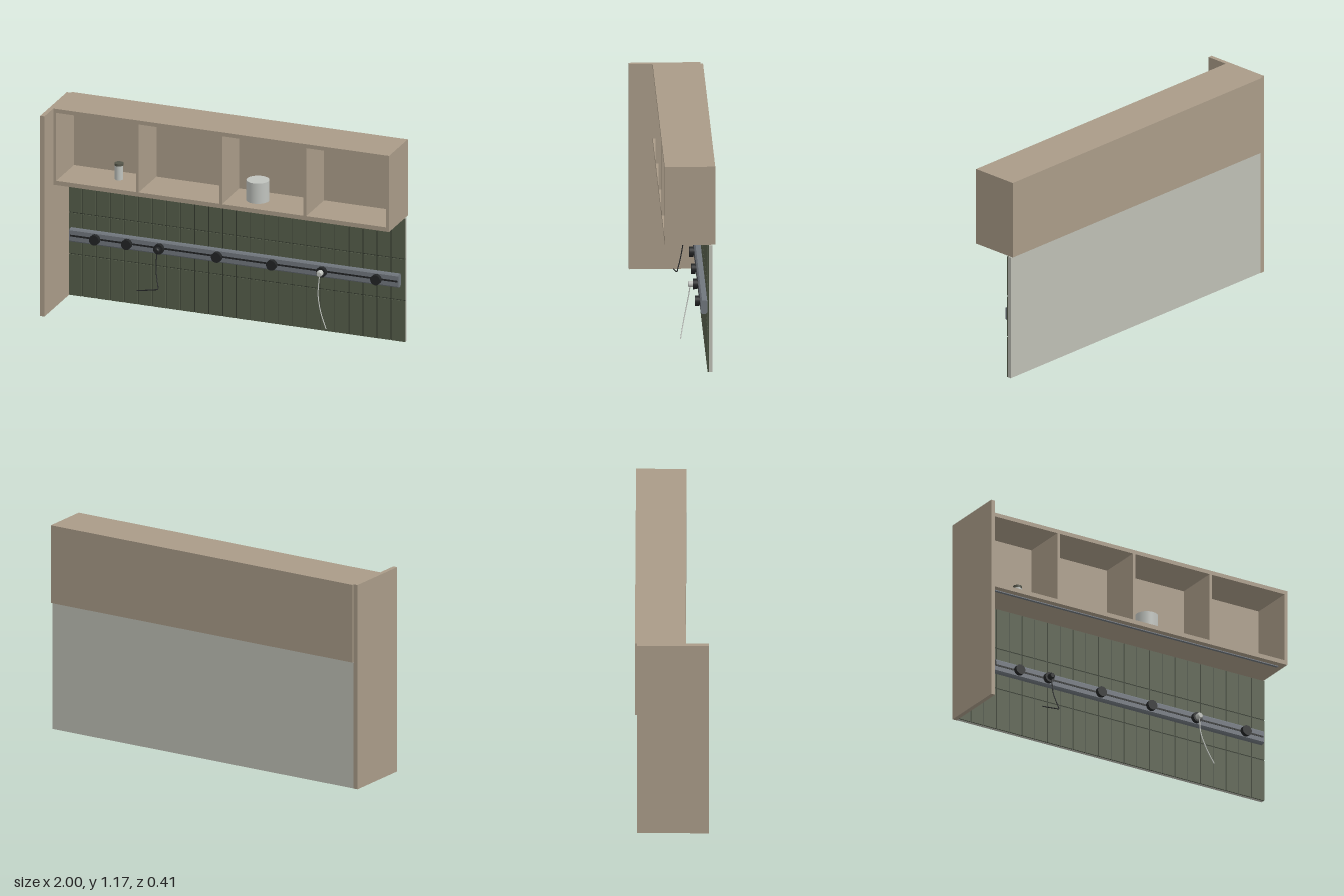
import * as THREE from 'three';

const mat = (name, color) => {
  const m = new THREE.MeshStandardMaterial({ color });
  m.name = name;
  return m;
};

export function createModel() {
  const wood = mat('taupe wood', 0xa99b88);
  const green = mat('green tile', 0x555d4a);
  const grout = mat('dark grout', 0x343a2e);
  const board = mat('pale board', 0xbdbeb4);
  const metal = mat('grey metal', 0x70767d);
  const black = mat('black plastic', 0x222425);
  const ceramic = mat('pale ceramic', 0xc0c3be);
  const lidColor = mat('olive lid', 0x55564a);

  const root = new THREE.Group();
  root.name = 'wallUnit';
  const group = (name) => {
    const g = new THREE.Group();
    g.name = name;
    root.add(g);
    return g;
  };
  const add = (parent, name, geometry, material) => {
    const m = new THREE.Mesh(geometry, material);
    m.name = name;
    parent.add(m);
    return m;
  };
  // Box given by its lower and upper limits on each axis
  const box = (parent, name, material, [x0, x1], [y0, y1], [z0, z1]) =>
    add(parent, name, new THREE.BoxGeometry(x1 - x0, y1 - y0, z1 - z0), material)
      .position.set((x0 + x1) / 2, (y0 + y1) / 2, (z0 + z1) / 2);
  // Cylinder lying along z
  const disc = (parent, name, material, r, x, y, z0, z1, rFront = r) => {
    const m = add(parent, name, new THREE.CylinderGeometry(rFront, r, z1 - z0, 28), material);
    m.rotation.x = Math.PI / 2;
    m.position.set(x, y, (z0 + z1) / 2);
  };

  // Tall end panel
  box(root, 'endPanel', wood, [-1, -0.975], [0, 1.17], [-0.19, 0.203]);

  // Open shelf cabinet
  const cabinet = group('cabinet');
  const depth = [-0.19, 0.073];
  box(cabinet, 'cabinetBack', wood, [-0.975, 1], [0.725, 1.17], [-0.203, -0.19]);
  box(cabinet, 'cabinetTop', wood, [-0.975, 1], [1.147, 1.17], depth);
  box(cabinet, 'cabinetBottom', wood, [-0.975, 1], [0.725, 0.75], depth);
  for (const [x0, x1] of [[-0.975, -0.958], [-0.49, -0.474], [0, 0.016], [0.497, 0.513], [0.982, 1]])
    box(cabinet, 'upright', wood, [x0, x1], [0.75, 1.147], depth);
  box(cabinet, 'underStrip', metal, [-0.94, 0.965], [0.72, 0.725], [0.022, 0.038]);

  // Tiled splashback
  const wall = group('splashback');
  box(wall, 'backingBoard', board, [-0.975, 1], [0, 0.72], [-0.188, -0.168]);
  box(wall, 'groutLayer', grout, [-0.975, 1], [0, 0.72], [-0.168, -0.166]);
  const pitch = 0.0826, rowHeight = 0.2415, gap = 0.003;
  for (let row = 0; row < 3; row++) {
    for (let col = 0; col < 24; col++) {
      const x1 = 1 - col * pitch;
      box(wall, 'tile', green,
        [Math.max(x1 - pitch + gap, -0.975), x1 - (col ? gap : 0)],
        [row ? row * rowHeight + gap : 0, row < 2 ? (row + 1) * rowHeight - gap : 0.72],
        [-0.166, -0.161]);
    }
  }

  // Power rail with chamfered profile
  const rail = group('powerRail');
  const c = 0.008, h = 0.038, d = 0.037;
  const profile = new THREE.Shape([
    [0, -h + c], [c, -h], [d - c, -h], [d, -h + c],
    [d, h - c], [d - c, h], [c, h], [0, h - c],
  ].map(([a, b]) => new THREE.Vector2(-a, b)));
  const body = add(rail, 'railBody',
    new THREE.ExtrudeGeometry(profile, { depth: 1.936, bevelEnabled: false }), metal);
  body.rotation.y = Math.PI / 2;
  body.position.set(-0.96, 0.362, -0.161);
  box(rail, 'railSlot', black, [-0.955, 0.971], [0.357, 0.367], [-0.125, -0.1225]);

  // Round sockets
  for (const x of [-0.805, -0.617, -0.428, -0.088, 0.238, 0.53, 0.85]) {
    disc(rail, 'socketNeck', black, 0.022, x, 0.362, -0.126, -0.12);
    disc(rail, 'socket', black, 0.029, x, 0.362, -0.121, -0.097);
  }

  // Plugs and hanging cords
  const cord = (name, material, points) => {
    const curve = new THREE.CatmullRomCurve3(
      points.map((p) => new THREE.Vector3(...p)), false, 'centripetal');
    add(rail, name, new THREE.TubeGeometry(curve, 40, 0.003, 8), material);
  };
  for (const [x, m] of [[-0.428, black], [0.53, ceramic]]) {
    disc(rail, 'plug', m, 0.017, x, 0.362, -0.098, -0.075);
    disc(rail, 'plugTip', m, 0.017, x, 0.362, -0.075, -0.069, 0.012);
  }
  cord('paleCord', ceramic, [[0.53, 0.35, -0.081], [0.527, 0.29, -0.072],
    [0.53, 0.235, -0.061], [0.553, 0.15, -0.043], [0.59, 0.066, -0.026]]);
  cord('blackCord', black, [[-0.428, 0.35, -0.081], [-0.428, 0.26, -0.067],
    [-0.417, 0.205, -0.055], [-0.407, 0.165, -0.044], [-0.407, 0.153, -0.041],
    [-0.42, 0.15, -0.038], [-0.525, 0.134, -0.026]]);

  // Objects on the shelf
  const items = group('shelfItems');
  const upright = (name, material, r, x, z, y0, y1) =>
    add(items, name, new THREE.CylinderGeometry(r, r, y1 - y0, 36), material)
      .position.set(x, (y0 + y1) / 2, z);
  upright('canister', ceramic, 0.063, 0.176, -0.063, 0.75, 0.868);
  upright('jar', ceramic, 0.023, -0.65, -0.08, 0.75, 0.832);
  upright('jarLid', lidColor, 0.025, -0.65, -0.08, 0.832, 0.845);

  return root;
}
